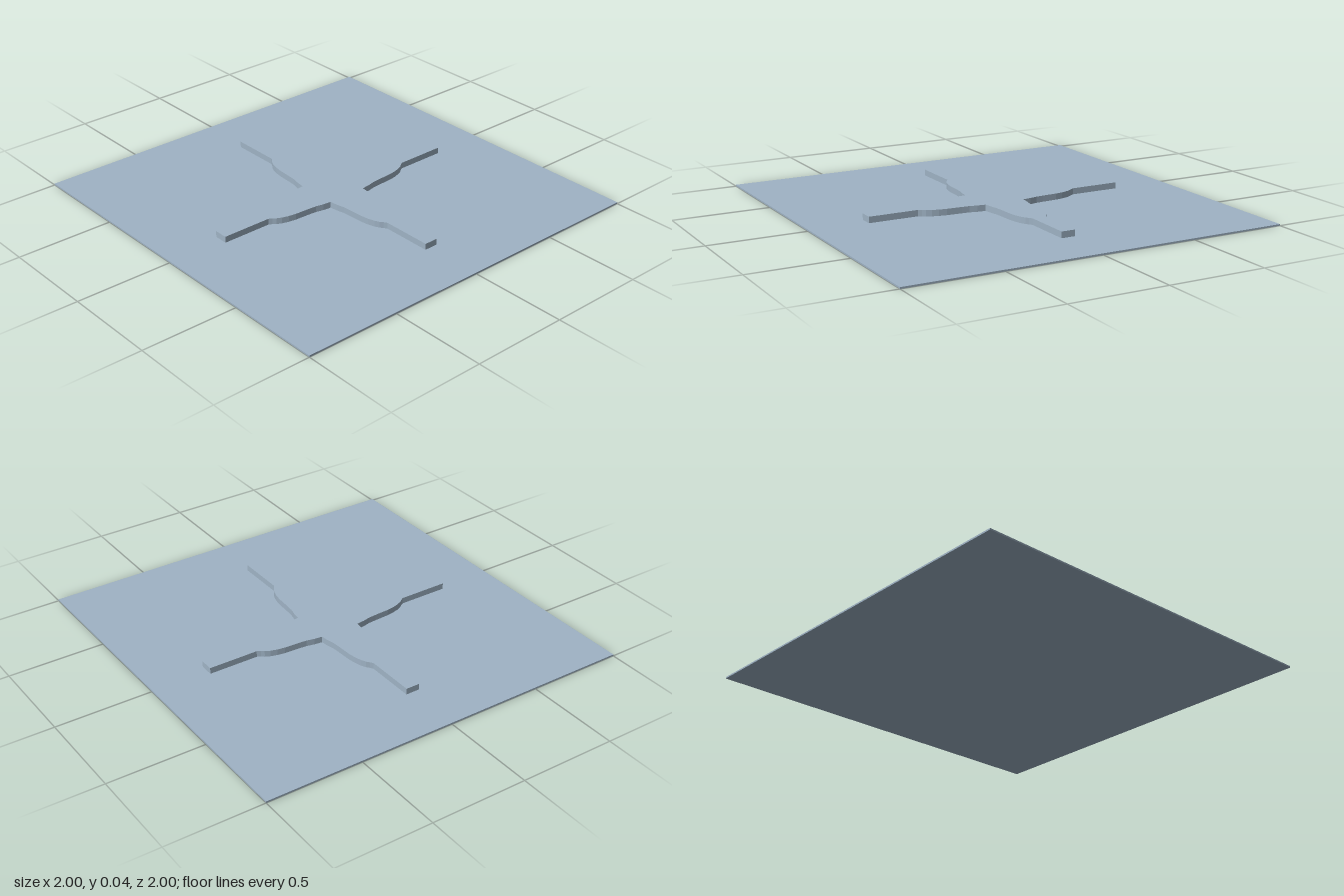
import * as THREE from 'three';

// Half-outline of one arm: [distance from centre, half width]
const ARM = [
  [0.107, 0.107], [0.15, 0.102], [0.19, 0.093], [0.23, 0.09], [0.31, 0.086],
  [0.35, 0.08], [0.385, 0.07], [0.41, 0.058], [0.425, 0.046], [0.442, 0.036], [0.703, 0.036],
];

// Four identical arms, each mirrored about its axis and turned by 90 degrees
function crossShape() {
  const points = [];
  const side = ARM.map(([d, w]) => new THREE.Vector2(d, -w));
  const mirrored = ARM.slice(1).reverse().map(([d, w]) => new THREE.Vector2(d, w));
  for (let i = 0; i < 4; i++) {
    for (const p of [...side, ...mirrored]) {
      points.push(p.clone().rotateAround(new THREE.Vector2(), i * Math.PI / 2));
    }
  }
  return new THREE.Shape(points);
}

export function createModel() {
  const group = new THREE.Group();
  const material = new THREE.MeshStandardMaterial({ color: 0x9fb3c5 });
  material.name = 'blue grey';

  // Thin square base
  const baseHeight = 0.008;
  const base = new THREE.Mesh(new THREE.BoxGeometry(2, baseHeight, 2), material);
  base.name = 'basePlate';
  base.position.y = baseHeight / 2;

  // Raised cross with swelling arms
  const crossGeometry = new THREE.ExtrudeGeometry(crossShape(), { depth: 0.04 - baseHeight, bevelEnabled: false });
  crossGeometry.rotateX(-Math.PI / 2);
  const cross = new THREE.Mesh(crossGeometry, material);
  cross.name = 'raisedCross';
  cross.position.y = baseHeight;

  group.add(base, cross);
  return group;
}
